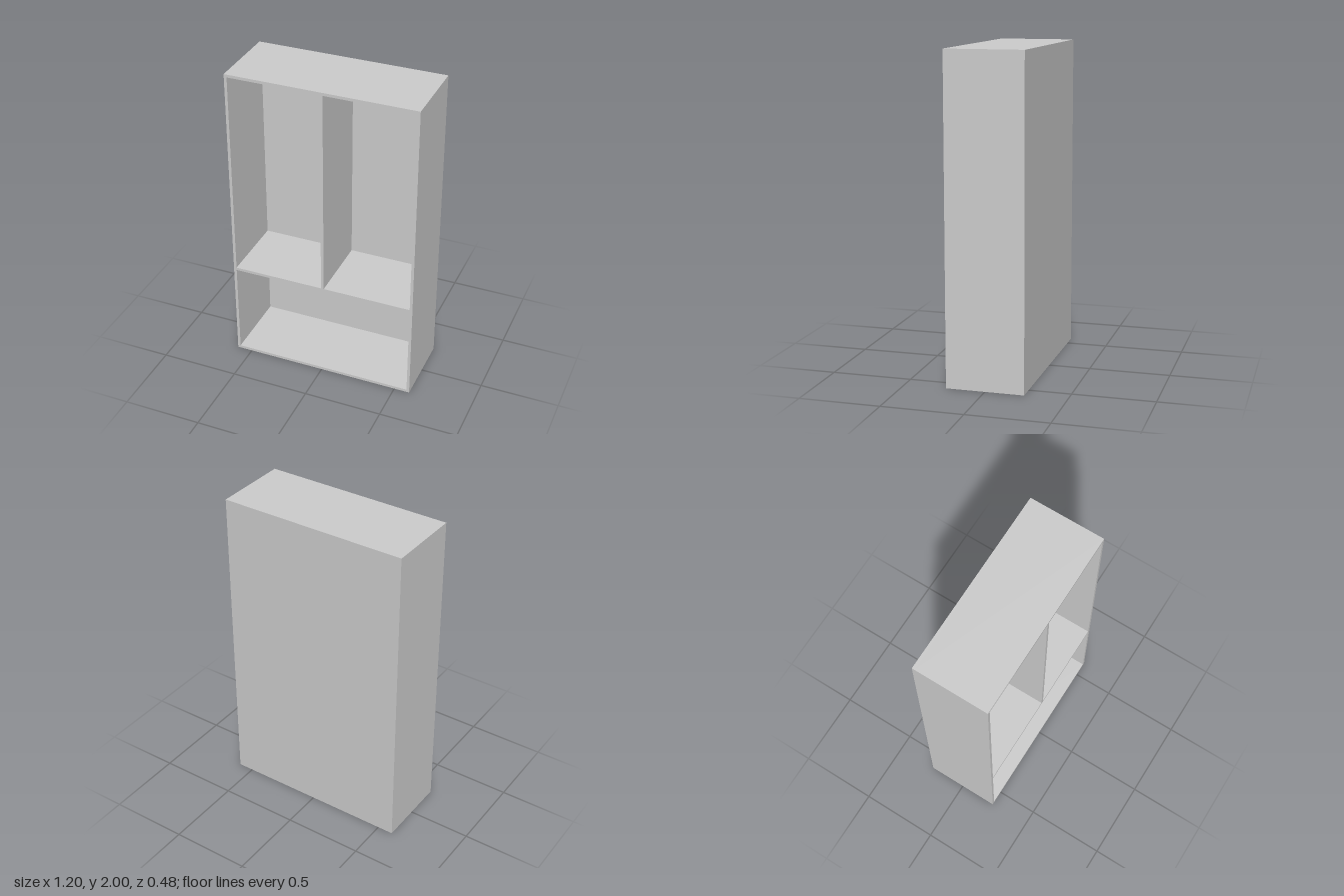
import * as THREE from 'three';

const W = 1.2, H = 2, D = 0.48, T = 0.018; // outer size and board thickness
const SHELF_TOP = 0.645;                   // upper face of the shelf

// Rectangle outline, as a Shape or a Path for a hole
function rect(Type, x0, y0, x1, y1) {
  const r = new Type();
  r.moveTo(x0, y0);
  r.lineTo(x1, y0);
  r.lineTo(x1, y1);
  r.lineTo(x0, y1);
  r.closePath();
  return r;
}

export function createModel() {
  const group = new THREE.Group();
  group.name = 'openCabinet';
  const material = new THREE.MeshStandardMaterial({ color: 0xcccccc });
  const xIn = W / 2 - T;

  // Sides, top, bottom, shelf and divider: one outline with three openings
  const frame = rect(THREE.Shape, -W / 2, 0, W / 2, H);
  frame.holes.push(
    rect(THREE.Path, -xIn, T, xIn, SHELF_TOP - T),    // low wide bay
    rect(THREE.Path, -xIn, SHELF_TOP, 0, H - T),      // tall bay, right
    rect(THREE.Path, T, SHELF_TOP, xIn, H - T),       // tall bay, left
  );
  const carcass = new THREE.Mesh(
    new THREE.ExtrudeGeometry(frame, { depth: D - T, bevelEnabled: false }), material);
  carcass.name = 'carcassWithShelfAndDivider';
  carcass.position.z = -D / 2 + T;
  group.add(carcass);

  // Closed back
  const back = new THREE.Mesh(new THREE.BoxGeometry(W, H, T), material);
  back.name = 'backPanel';
  back.position.set(0, H / 2, -D / 2 + T / 2);
  group.add(back);

  return group;
}
